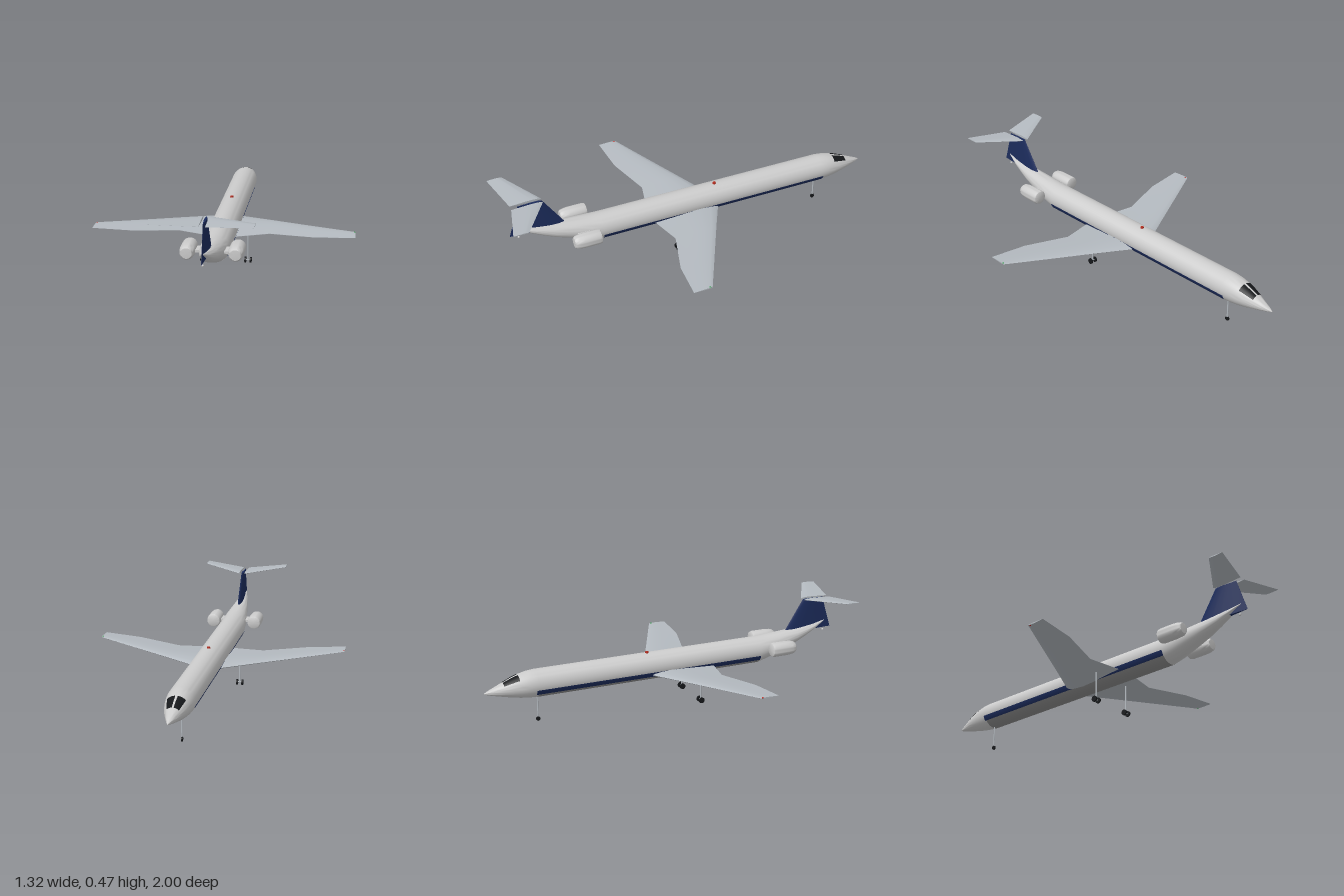
import * as THREE from 'three';
import { toCreasedNormals } from 'three/addons/utils/BufferGeometryUtils.js';

const mat = (color, side = THREE.FrontSide) => new THREE.MeshStandardMaterial({ color, side });
const WHITE = mat(0xe4e4e4), GREY = mat(0xb4bac0), NAVY = mat(0x1c2c5c), BLACK = mat(0x15171a);
const STRIPE = mat(0x1c2c5c, THREE.DoubleSide), GLASS = mat(0x15171a, THREE.DoubleSide), BELLY = mat(0x8c8c8c, THREE.DoubleSide);

// Fuselage stations from nose to tail: z, centre height, half width, half height
const STATIONS = [
  [-1, 0.184, 0.002, 0.002], [-0.98, 0.186, 0.011, 0.011], [-0.94, 0.189, 0.026, 0.024],
  [-0.9, 0.193, 0.04, 0.037], [-0.86, 0.197, 0.051, 0.05], [-0.82, 0.2, 0.06, 0.06],
  [-0.78, 0.202, 0.066, 0.067], [-0.74, 0.203, 0.069, 0.07], [0.5, 0.203, 0.069, 0.07],
  [0.56, 0.212, 0.066, 0.064], [0.62, 0.224, 0.06, 0.056], [0.68, 0.237, 0.052, 0.048],
  [0.74, 0.25, 0.044, 0.039], [0.8, 0.267, 0.033, 0.029], [0.86, 0.286, 0.021, 0.017],
  [0.9, 0.302, 0.011, 0.008], [0.93, 0.313, 0.002, 0.002],
];

function station(z) {
  let i = 0;
  while (i < STATIONS.length - 2 && z > STATIONS[i + 1][0]) i++;
  const a = STATIONS[i], b = STATIONS[i + 1], t = (z - a[0]) / (b[0] - a[0]);
  return a.map((v, k) => v + (b[k] - v) * t);
}

// Point on the hull; angle is measured from the top towards +x
function hullPoint(z, angle, offset = 0) {
  const [, cy, rx, ry] = station(z);
  return [(rx + offset) * Math.sin(angle), cy + (ry + offset) * Math.cos(angle), z];
}

function build(points, index, crease) {
  const g = new THREE.BufferGeometry();
  g.setAttribute('position', new THREE.Float32BufferAttribute(points.flat(), 3));
  g.setIndex(index);
  if (crease) return toCreasedNormals(g, crease);
  g.computeVertexNormals();
  return g;
}

// Closed skin over equal-length rings, always facing outwards
function loft(rings, crease = 0.6) {
  const n = rings[0].length, points = rings.flat(), index = [];
  for (let r = 0; r < rings.length - 1; r++) {
    for (let i = 0; i < n; i++) {
      const a = r * n + i, b = r * n + (i + 1) % n;
      index.push(a, b, a + n, b, b + n, a + n);
    }
  }
  const last = (rings.length - 1) * n;
  for (let i = 1; i < n - 1; i++) index.push(0, i + 1, i, last, last + i, last + i + 1);
  let volume = 0;
  const v = points.map((p) => new THREE.Vector3(...p).sub(new THREE.Vector3(...points[0])));
  for (let i = 0; i < index.length; i += 3) {
    volume += v[index[i]].dot(v[index[i + 1]].clone().cross(v[index[i + 2]]));
  }
  if (volume < 0) index.reverse();
  return build(points, index, crease);
}

// Thin panel lying on the hull between two z values and two angles
function hullPatch(z0, z1, a0, a1, offset, nz = 4, na = 8) {
  const points = [], index = [];
  for (let i = 0; i <= nz; i++) {
    for (let j = 0; j <= na; j++) {
      points.push(hullPoint(z0 + (z1 - z0) * i / nz, a0 + (a1 - a0) * j / na, offset));
      if (i < nz && j < na) {
        const p = i * (na + 1) + j, q = p + na + 1;
        index.push(p, q, p + 1, q, q + 1, p + 1);
      }
    }
  }
  return build(points, index);
}

// Airfoil outline as [fraction of chord, fraction of thickness]
const UPPER = [[0, 0], [0.03, 0.2], [0.12, 0.4], [0.3, 0.5], [0.5, 0.42], [0.75, 0.22], [1, 0.03]];
const FOIL = [...UPPER, ...UPPER.slice(1).reverse().map(([c, t]) => [c, -t])];

// Sections: span position, leading z, trailing z, height, thickness
const wingSkin = (sections, side) => loft(sections.map(([x, z0, z1, y, t]) =>
  FOIL.map(([c, h]) => [side * x, y + h * t, z0 + (z1 - z0) * c])));

export function createModel() {
  const model = new THREE.Group();
  const add = (name, geometry, material, x = 0, y = 0, z = 0, parent = model) => {
    const mesh = new THREE.Mesh(geometry, material);
    mesh.name = name;
    mesh.position.set(x, y, z);
    parent.add(mesh);
    return mesh;
  };

  // Hull with its grey belly
  const SIDES = 40;
  add('fuselage', loft(STATIONS.map(([z]) =>
    Array.from({ length: SIDES }, (_, i) => hullPoint(z, i / SIDES * Math.PI * 2))), 0.9), WHITE);
  add('belly', hullPatch(-0.74, 0.5, 2.24, Math.PI * 2 - 2.24, 0.001, 1, 20), BELLY);

  // Fin, as airfoil sections stacked upwards
  const fin = [[0.273, 0.675, 0.964, 0.026], [0.445, 0.787, 0.91, 0.012]];
  add('tailFin', loft(fin.map(([y, z0, z1, t]) =>
    FOIL.map(([c, h]) => [h * t, y, z0 + (z1 - z0) * c]))), NAVY);

  const wing = [[0.03, -0.147, 0.228, 0.168, 0.032], [0.23, -0.045, 0.18, 0.179, 0.022],
    [0.46, 0.07, 0.25, 0.191, 0.013], [0.66, 0.17, 0.266, 0.202, 0.006]];
  const tailplane = [[0.015, 0.785, 0.945, 0.445, 0.012], [0.235, 0.92, 0.997, 0.463, 0.005]];
  const nacelle = [[0, -0.07], [0.03, -0.07], [0.035, -0.067], [0.038, -0.055], [0.038, 0.02],
    [0.036, 0.045], [0.032, 0.062], [0.026, 0.07], [0, 0.072]].map(([r, y]) => new THREE.Vector2(r, y));

  for (const side of [1, -1]) {
    const label = side > 0 ? 'left' : 'right';
    add(label + 'Wing', wingSkin(wing, side), GREY);
    add(label + 'Tailplane', wingSkin(tailplane, side), GREY);
    add(label + 'Stripe', hullPatch(-0.75, 0.5, side * 1.83, side * 2.24, 0.002), STRIPE);
    add(label + 'Windshield', hullPatch(-0.905, -0.828, side * 0.1, side * 0.82, 0.0015), GLASS);
    add(label + 'WingLight', new THREE.SphereGeometry(0.005, 10, 8),
      mat(side > 0 ? 0x109030 : 0xc02018), side * 0.655, 0.202, 0.18);

    // Engine on its pylon
    const engine = toCreasedNormals(new THREE.LatheGeometry(nacelle, 32), 0.7).rotateX(Math.PI / 2);
    add(label + 'Engine', engine, WHITE, side * 0.115, 0.226, 0.603);
    add(label + 'Pylon', new THREE.BoxGeometry(0.05, 0.012, 0.07), WHITE, side * 0.07, 0.226, 0.6);

    // Main gear leg with a pair of wheels
    const gear = new THREE.Group();
    gear.name = label + 'MainGear';
    gear.position.set(side * 0.115, 0, 0.118);
    model.add(gear);
    add('strut', new THREE.CylinderGeometry(0.004, 0.004, 0.155, 12), GREY, 0, 0.0925, 0, gear);
    add('axle', new THREE.CylinderGeometry(0.003, 0.003, 0.03, 10).rotateZ(Math.PI / 2), GREY, 0, 0.016, 0, gear);
    for (const s of [1, -1]) {
      add('wheel', new THREE.CylinderGeometry(0.015, 0.015, 0.008, 20).rotateZ(Math.PI / 2), BLACK, s * 0.014, 0.015, 0, gear);
    }
  }

  // Nose gear
  add('noseStrut', new THREE.CylinderGeometry(0.0035, 0.0035, 0.13, 12), GREY, 0, 0.08, -0.73);
  add('noseWheel', new THREE.CylinderGeometry(0.011, 0.011, 0.007, 20).rotateZ(Math.PI / 2), BLACK, 0, 0.011, -0.73);

  // Beacons
  add('topBeacon', new THREE.CylinderGeometry(0.008, 0.01, 0.012, 12), mat(0xb02a1c), 0, 0.274, -0.135);
  add('tailLight', new THREE.SphereGeometry(0.006, 10, 8), WHITE, 0, 0.258, 0.92);
  return model;
}
